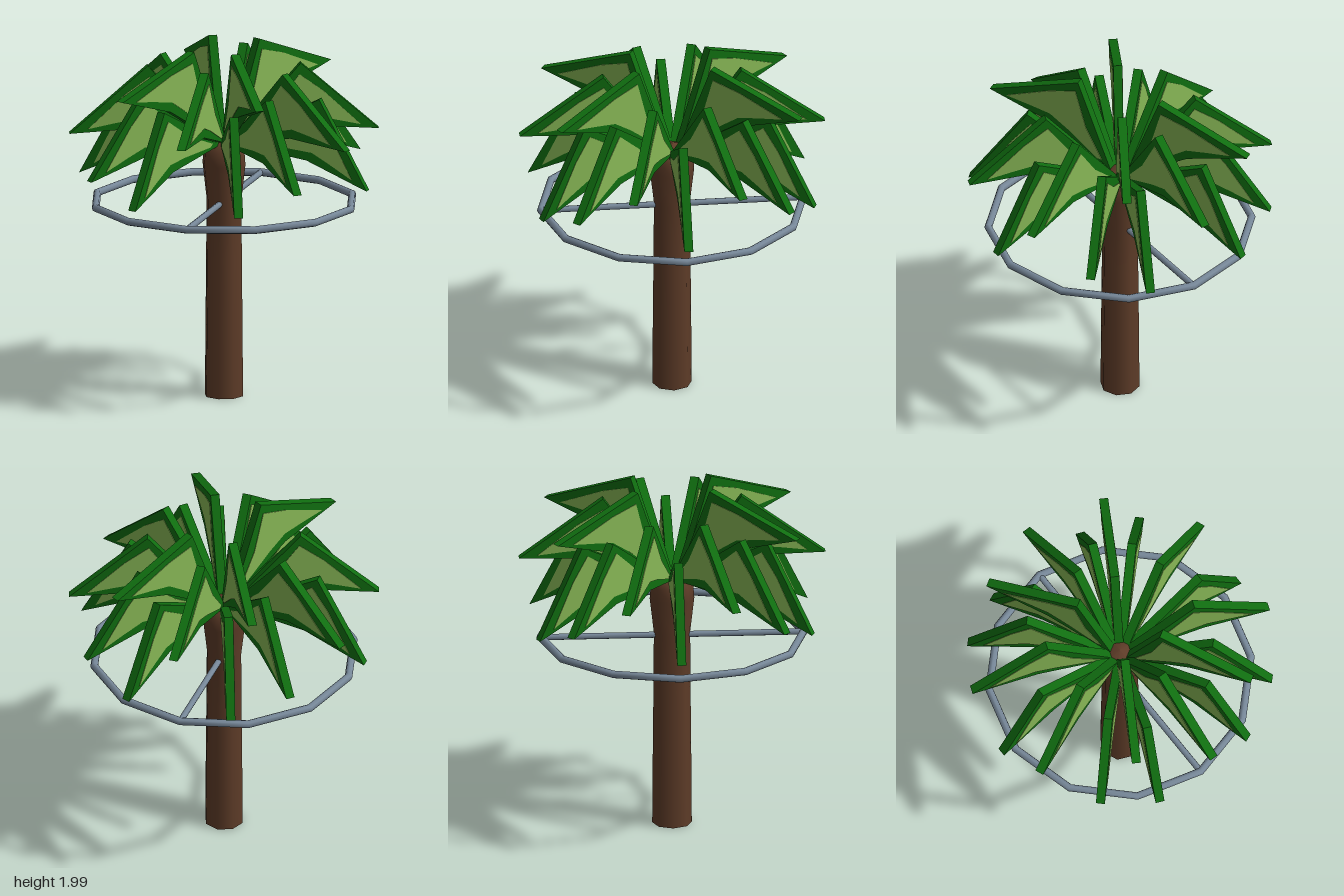
import * as THREE from 'three';

const mat = (name, color, side = THREE.FrontSide) => {
  const m = new THREE.MeshStandardMaterial({ color, side });
  m.name = name;
  return m;
};

// Centred flat plate cut from an outline
function plate(points, depth) {
  const shape = new THREE.Shape(points.map(([x, y]) => new THREE.Vector2(x, y)));
  const geo = new THREE.ExtrudeGeometry(shape, { depth, bevelEnabled: false });
  return geo.translate(0, 0, -depth / 2);
}

export function createModel() {
  const bark = mat('bark brown', 0x5e3c28);
  const green = mat('leaf green', 0x106e10);
  const lime = mat('leaf light green', 0x88b856);
  const steel = mat('steel grey', 0x778899);

  const model = new THREE.Group();
  const add = (parent, name, geo, material) => {
    const mesh = new THREE.Mesh(geo, material);
    mesh.name = name;
    parent.add(mesh);
    return mesh;
  };

  // Trunk with a swollen, rounded crown
  const profile = [[0.11, 0], [0.107, 0.4], [0.103, 0.8], [0.101, 1.12], [0.124, 1.32],
    [0.118, 1.4], [0.085, 1.455], [0, 1.48]].map(([r, y]) => new THREE.Vector2(r, y));
  add(model, 'trunk', new THREE.LatheGeometry(profile, 8), bark);
  const base = add(model, 'trunkBase', new THREE.CircleGeometry(0.11, 8), bark);
  base.rotation.x = Math.PI / 2;

  // Twelve-sided hoop and the bar that carries it through the trunk
  const hoop = add(model, 'hoop', new THREE.TorusGeometry(0.732, 0.022, 8, 12), steel);
  hoop.rotation.x = Math.PI / 2;
  hoop.position.y = 1.105;
  const bar = add(model, 'hoopBar', new THREE.CylinderGeometry(0.018, 0.018, 1.46, 8), steel);
  bar.rotation.x = Math.PI / 2;
  bar.position.y = 1.105;

  // Fronds: one bent leaf outline with a lighter panel on both faces
  const leafGeo = plate([[0, 0], [0.587, 0], [0.587, -0.577], [0.355, -0.275]], 0.05);
  const panelGeo = plate([[0.09, -0.03], [0.3, -0.055], [0.535, -0.035], [0.55, -0.2],
    [0.54, -0.485], [0.47, -0.36], [0.405, -0.25], [0.3, -0.175], [0.1, -0.055]], 0.056);

  const addFrond = (azimuth, pitch) => {
    const frond = new THREE.Group();
    frond.name = 'frond';
    frond.rotation.y = THREE.MathUtils.degToRad(azimuth);
    const blade = new THREE.Group();
    blade.name = 'frondBlade';
    blade.position.set(0.04, 1.445, 0);
    blade.rotation.z = THREE.MathUtils.degToRad(pitch);
    add(blade, 'leaf', leafGeo, green);
    add(blade, 'leafPanel', panelGeo, lime);
    frond.add(blade);
    model.add(frond);
  };

  // Fronds along the axes
  for (const turn of [0, 180]) {
    addFrond(turn, 28.5);
    addFrond(turn + 90, 54);
  }
  // Diagonal fronds, mirrored into all four quarters
  for (const [azimuth, pitch] of [[21, 49], [45, 35], [59, 69.4], [68, 27]]) {
    for (const a of [azimuth, -azimuth, 180 - azimuth, 180 + azimuth]) addFrond(a, pitch);
  }
  return model;
}
